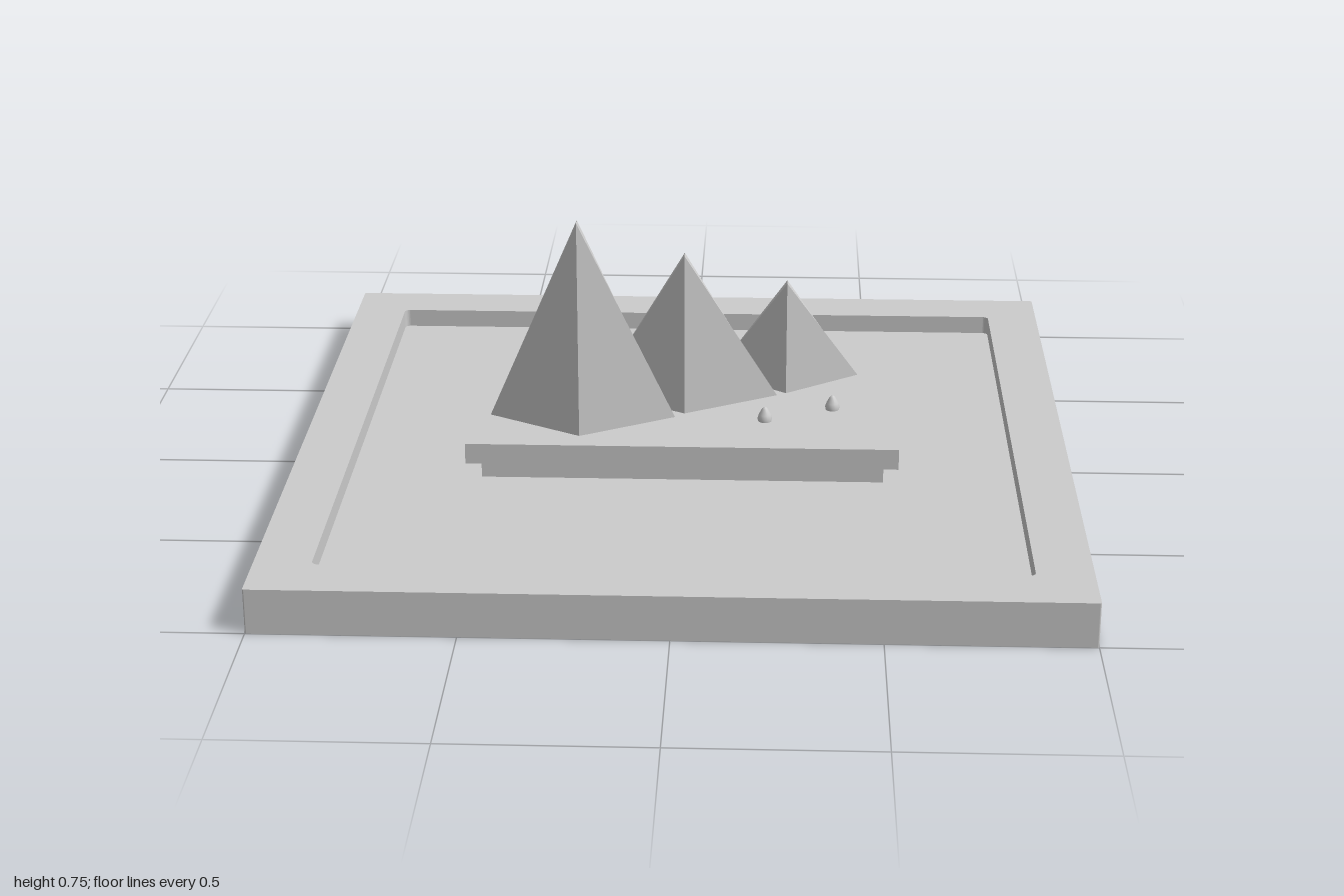
import * as THREE from 'three';

const material = new THREE.MeshStandardMaterial({ color: 0xcccccc });
const flatMaterial = new THREE.MeshStandardMaterial({ color: 0xcccccc, flatShading: true });

function add(parent, name, geometry, mat = material) {
  const mesh = new THREE.Mesh(geometry, mat);
  mesh.name = name;
  parent.add(mesh);
  return mesh;
}

// Square outline with rounded corners
function square(PathType, half, r) {
  const p = new PathType();
  const c = half - r;
  p.moveTo(-c, -half);
  p.lineTo(c, -half);
  p.absarc(c, -c, r, -Math.PI / 2, 0);
  p.lineTo(half, c);
  p.absarc(c, c, r, 0, Math.PI / 2);
  p.lineTo(-c, half);
  p.absarc(-c, c, r, Math.PI / 2, Math.PI);
  p.lineTo(-half, -c);
  p.absarc(-c, -c, r, Math.PI, Math.PI * 1.5);
  return p;
}

// Horizontal slab or ring between two heights
function slab(outer, outerR, inner, innerR, y0, y1) {
  const shape = square(THREE.Shape, outer, outerR);
  if (inner) shape.holes.push(square(THREE.Path, inner, innerR));
  const g = new THREE.ExtrudeGeometry(shape, { depth: y1 - y0, bevelEnabled: false, curveSegments: 6 });
  return g.rotateX(-Math.PI / 2).translate(0, y0, 0);
}

function box(w, d, y0, y1) {
  return new THREE.BoxGeometry(w, y1 - y0, d).translate(0, (y0 + y1) / 2, 0);
}

// Folded triangular sheet: upright ridge at the front, two wings swept back
function peakGeometry(halfWidth, height, sweep) {
  const t = 0.027;
  const FL = [-halfWidth, 0, -sweep + 0.02], FR = [halfWidth, 0, -sweep + 0.02];
  const BL = [-halfWidth + 0.012, 0, -sweep], BR = [halfWidth - 0.012, 0, -sweep];
  const FF = [0, 0, 0], BF = [0, 0, -t];
  const T = [0, height, 0], TB = [0, height, -t];
  const quad = (a, b, c, d) => [a, b, c, a, c, d];
  const corners = [
    FL, FF, T, FF, FR, T, // front wings
    BF, BL, TB, BR, BF, TB, // back wings
    ...quad(FL, T, TB, BL), ...quad(T, FR, BR, TB), // sloping edges
    ...quad(FL, BL, BF, FF), ...quad(FF, BF, BR, FR), // underside
  ];
  const g = new THREE.BufferGeometry();
  g.setAttribute('position', new THREE.Float32BufferAttribute(corners.flat(), 3));
  g.computeVertexNormals();
  return g;
}

export function createModel() {
  const model = new THREE.Group();
  model.name = 'peaksDisplay';

  // Hollow base: skirt, thin rim and a sunken tray, open underneath
  const base = new THREE.Group();
  base.name = 'base';
  model.add(base);
  add(base, 'skirt', slab(1, 0.004, 0.992, 0.004, 0, 0.115));
  add(base, 'rim', slab(0.995, 0.004, 0.86, 0.015, 0.108, 0.115));
  add(base, 'trayWall', slab(0.868, 0.02, 0.86, 0.015, 0.045, 0.114));
  add(base, 'trayFloor', slab(0.862, 0.015, 0, 0, 0.04, 0.065));

  // Plinth on a narrower foot
  add(model, 'plinthFoot', box(1.04, 0.45, 0.039, 0.12));
  add(model, 'plinth', box(1.114, 0.534, 0.12, 0.175));

  // Three folded peaks: x, ridge z, half width, height, sweep
  const peaks = [
    [-0.267, 0.205, 0.243, 0.58, 0.155],
    [0, 0.045, 0.243, 0.44, 0.155],
    [0.267, -0.105, 0.195, 0.313, 0.16],
  ];
  for (const [x, z, halfWidth, height, sweep] of peaks) {
    add(model, 'peak', peakGeometry(halfWidth, height, sweep), flatMaterial).position.set(x, 0.175, z);
  }

  // Small pointed pegs standing on the plinth
  const profile = [[0.018, 0], [0.019, 0.008], [0.016, 0.018], [0.008, 0.033], [0.004, 0.037], [0, 0.038]];
  const pegGeometry = new THREE.LatheGeometry(profile.map(([r, y]) => new THREE.Vector2(r, y)), 16);
  const pegs = [[-0.375, 0.05], [-0.197, 0.05], [-0.095, -0.105], [0.085, -0.105],
    [0.267, -0.208], [0.39, 0], [0.212, 0.085]];
  for (const [x, z] of pegs) add(model, 'peg', pegGeometry).position.set(x, 0.175, z);

  return model;
}
